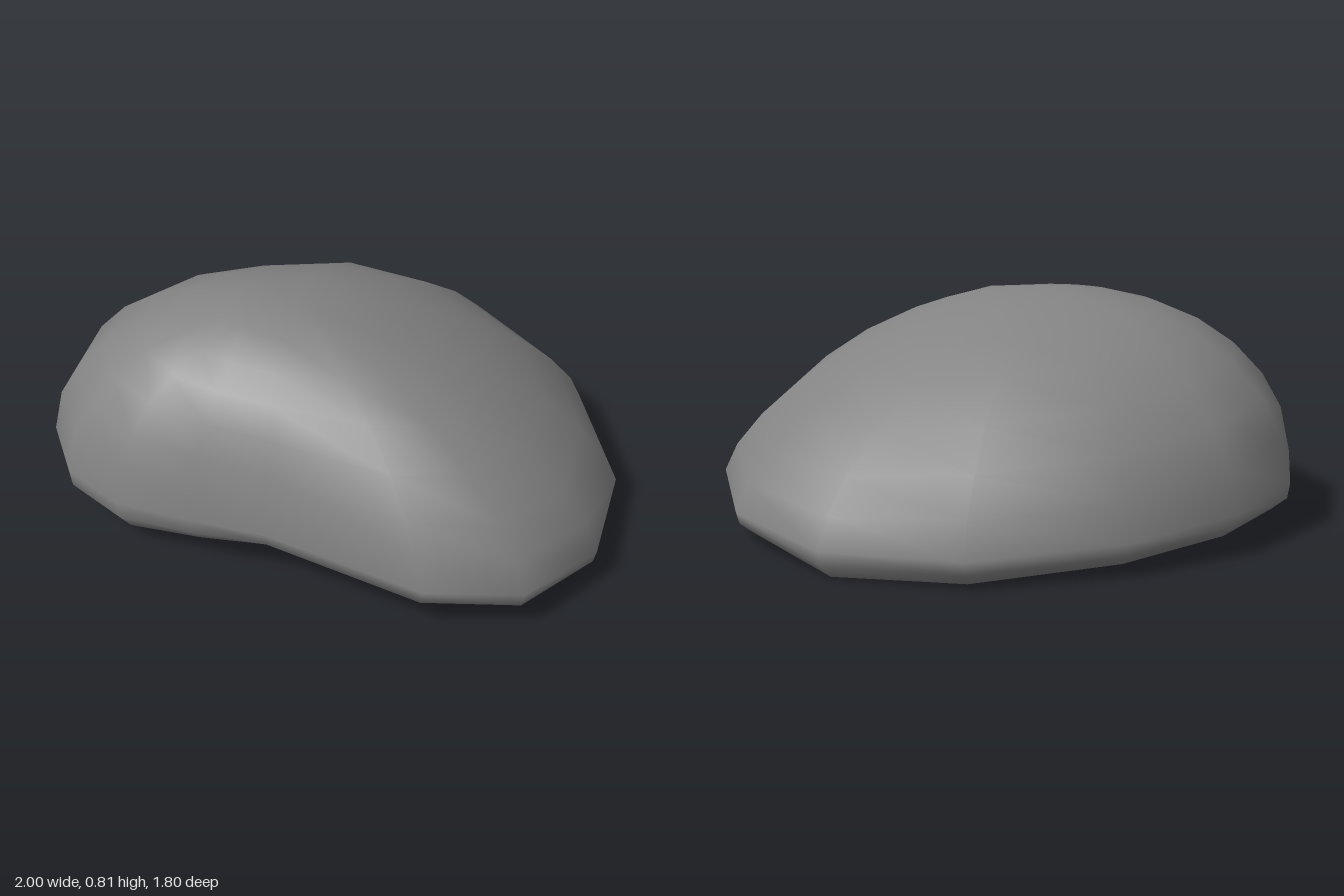
import * as THREE from 'three';

// Plan outline, counter-clockwise from the front lobe:
// x, z, height of widest point, height of underside, underside inset, dome exponents a and b
const OUTLINE = [
  [0.48, 0.90, 0.15, 0.055, 0.87, 1.90, 0.68],
  [0.79, 0.71, 0.13, 0.048, 0.89, 1.78, 0.70],
  [0.98, 0.32, 0.12, 0.05, 0.94, 1.65, 0.71],
  [1.00, -0.21, 0.11, 0.037, 0.955, 1.62, 0.71],
  [0.79, -0.67, 0.10, 0.00, 0.95, 1.68, 0.70],
  [0.36, -0.90, 0.10, 0.015, 0.955, 1.85, 0.67],
  [-0.18, -0.90, 0.12, 0.04, 0.95, 1.98, 0.65],
  [-0.60, -0.77, 0.15, 0.065, 0.94, 2.15, 0.59],
  [-0.88, -0.55, 0.18, 0.08, 0.93, 2.30, 0.56],
  [-1.00, -0.24, 0.21, 0.10, 0.93, 2.30, 0.54],
  [-0.97, 0.03, 0.21, 0.095, 0.93, 2.15, 0.54],
  [-0.82, 0.23, 0.20, 0.08, 0.93, 2.00, 0.56],
  [-0.58, 0.37, 0.20, 0.095, 0.92, 1.95, 0.59],
  [-0.33, 0.50, 0.20, 0.12, 0.91, 1.90, 0.62],
  [0.14, 0.85, 0.17, 0.08, 0.88, 1.88, 0.66],
];
const APEX = new THREE.Vector3(-0.15, 0.81, 0);
const CROWN_RADIUS = 0.9;

function buildStone() {
  const n = OUTLINE.length;
  const positions = [APEX.x, APEX.y, APEX.z];
  const indices = [];

  // One ring: the outline scaled about the apex, with scale and height rules per point
  const addRing = (scale, height) => {
    for (const p of OUTLINE) {
      const s = scale(p);
      positions.push(APEX.x + (p[0] - APEX.x) * s, height(p), APEX.z + (p[1] - APEX.z) * s);
    }
  };

  // Dome, from near the apex down to the widest ring.
  // The hollow side fills out towards the crown, so the top stays round.
  const domeSteps = [0.24, 0.44, 0.61, 0.76, 0.88, 0.96, 1];
  for (const t of domeSteps) {
    const fill = Math.pow(1 - t, 1.3);
    addRing(
      ([x, z]) => {
        const radius = Math.hypot(x - APEX.x, z - APEX.z);
        return t * (1 + (fill * Math.max(CROWN_RADIUS - radius, 0)) / radius);
      },
      ([, , rim, , , a, b]) => rim + (APEX.y - rim) * Math.pow(1 - Math.pow(t, a), b),
    );
  }
  // Rounded lower edge and flat underside
  addRing(() => 0.99, ([, , rim, base]) => base + (rim - base) * 0.45);
  addRing((p) => p[4], (p) => p[3]);
  addRing(() => 0.5, (p) => 0.5 * p[3] + 0.03);
  const ringCount = domeSteps.length + 3;
  const bottom = positions.length / 3;
  positions.push(APEX.x, 0.06, APEX.z);

  // Join apex, rings and bottom centre
  for (let i = 0; i < n; i++) {
    const j = (i + 1) % n;
    indices.push(0, 1 + i, 1 + j);
    for (let r = 0; r < ringCount - 1; r++) {
      const u = 1 + r * n;
      const d = u + n;
      indices.push(u + i, d + i, d + j, u + i, d + j, u + j);
    }
    const last = 1 + (ringCount - 1) * n;
    indices.push(last + i, bottom, last + j);
  }

  const geometry = new THREE.BufferGeometry();
  geometry.setAttribute('position', new THREE.Float32BufferAttribute(positions, 3));
  geometry.setIndex(indices);
  geometry.computeVertexNormals();
  return geometry;
}

export function createModel() {
  const group = new THREE.Group();
  group.name = 'rock';
  const stone = new THREE.Mesh(buildStone(), new THREE.MeshStandardMaterial({ color: 0x848484 }));
  stone.name = 'stone';
  group.add(stone);
  return group;
}
